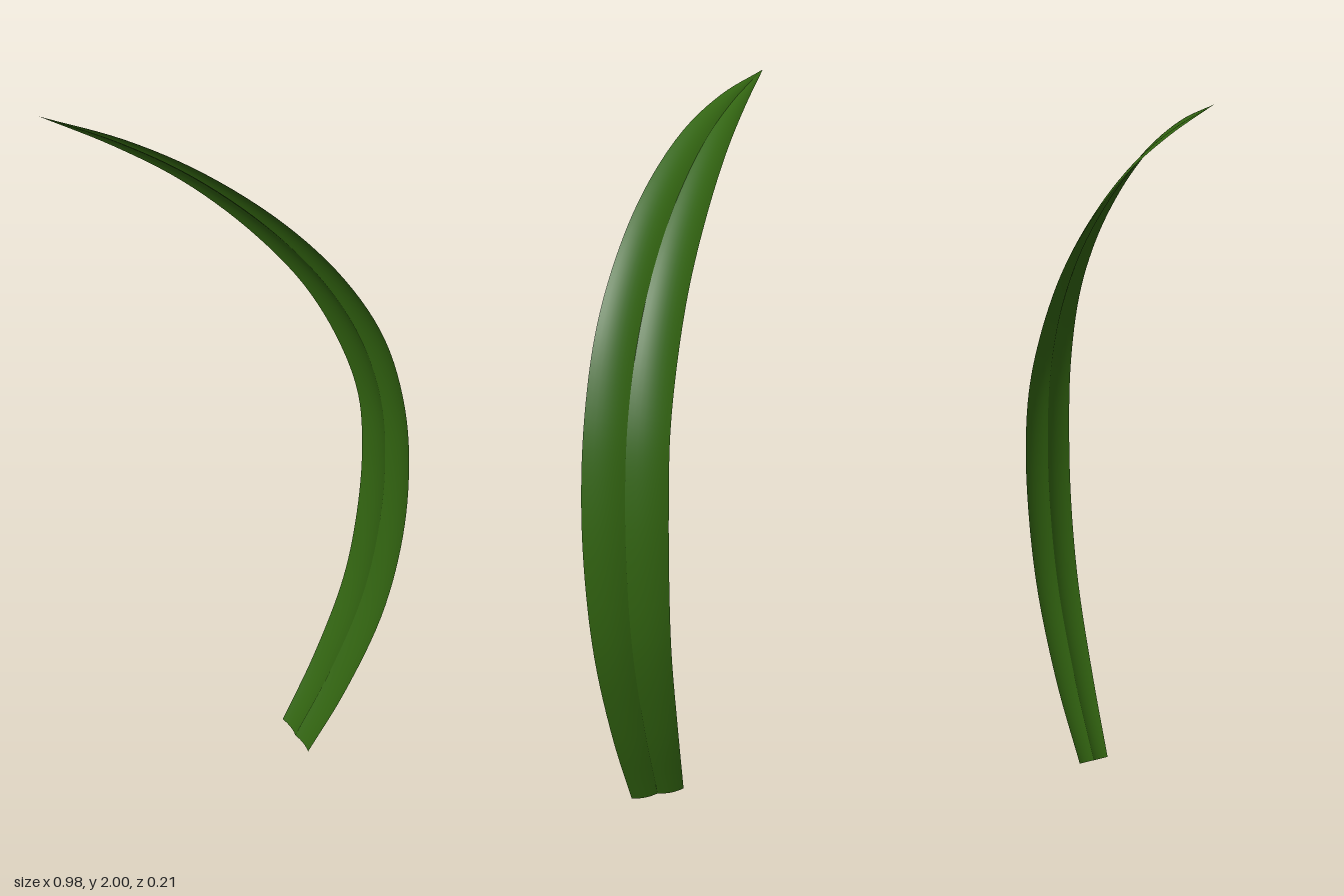
import * as THREE from 'three';

// Paired stations from base to tip along the two edges of the blade
const OUTER = [
  [0.228, 0.003, 0.07], [0.33, 0.22, 0.085], [0.43, 0.49, 0.097], [0.478, 0.73, 0.103],
  [0.491, 0.95, 0.105], [0.473, 1.17, 0.101], [0.41, 1.385, 0.093], [0.3, 1.56, 0.08],
  [0.14, 1.72, 0.06], [-0.07, 1.86, 0.025], [-0.27, 1.945, -0.02], [-0.49, 2, -0.074],
];
const INNER = [
  [0.17, 0.03, -0.066], [0.265, 0.25, -0.083], [0.35, 0.51, -0.095], [0.386, 0.73, -0.102],
  [0.396, 0.94, -0.105], [0.379, 1.12, -0.103], [0.32, 1.29, -0.1], [0.215, 1.475, -0.096],
  [0.06, 1.65, -0.092], [-0.12, 1.8, -0.087], [-0.3, 1.908, -0.081], [-0.49, 2, -0.074],
];
const ROWS = 66, COLS = 8, BULGE = 0.045;

const curve = (points) =>
  new THREE.CatmullRomCurve3(points.map((p) => new THREE.Vector3(...p)));

// One lengthwise half of the blade, arched outward between the midrib and its edge
function halfBlade(name, from, to, material) {
  const outer = curve(OUTER), inner = curve(INNER);
  const positions = [], indices = [];
  for (let i = 0; i <= ROWS; i++) {
    const s = i / ROWS;
    const a = inner.getPoint(s), b = outer.getPoint(s);
    const across = b.clone().sub(a);
    const along = outer.getTangent(s).add(inner.getTangent(s));
    const normal = across.clone().cross(along).normalize().negate();
    for (let j = 0; j <= COLS; j++) {
      const u = j / COLS;
      const p = a.clone().lerp(b, from + (to - from) * u);
      p.addScaledVector(normal, 4 * u * (1 - u) * BULGE * across.length());
      positions.push(p.x, p.y, p.z);
      if (i < ROWS && j < COLS) {
        const k = i * (COLS + 1) + j, n = k + COLS + 1;
        indices.push(k, n, k + 1);
        if (i < ROWS - 1) indices.push(k + 1, n, n + 1); // the last row closes to a point
      }
    }
  }
  const geometry = new THREE.BufferGeometry();
  geometry.setAttribute('position', new THREE.Float32BufferAttribute(positions, 3));
  geometry.setIndex(indices);
  geometry.computeVertexNormals();
  const mesh = new THREE.Mesh(geometry, material);
  mesh.name = name;
  return mesh;
}

export function createModel() {
  const group = new THREE.Group();
  group.name = 'grassBlade';
  const green = new THREE.MeshStandardMaterial({ color: 0x336611, side: THREE.DoubleSide });
  // The halves meet in a crease along the midrib
  group.add(halfBlade('backHalf', 0, 0.5, green));
  group.add(halfBlade('frontHalf', 0.5, 1, green));
  return group;
}
